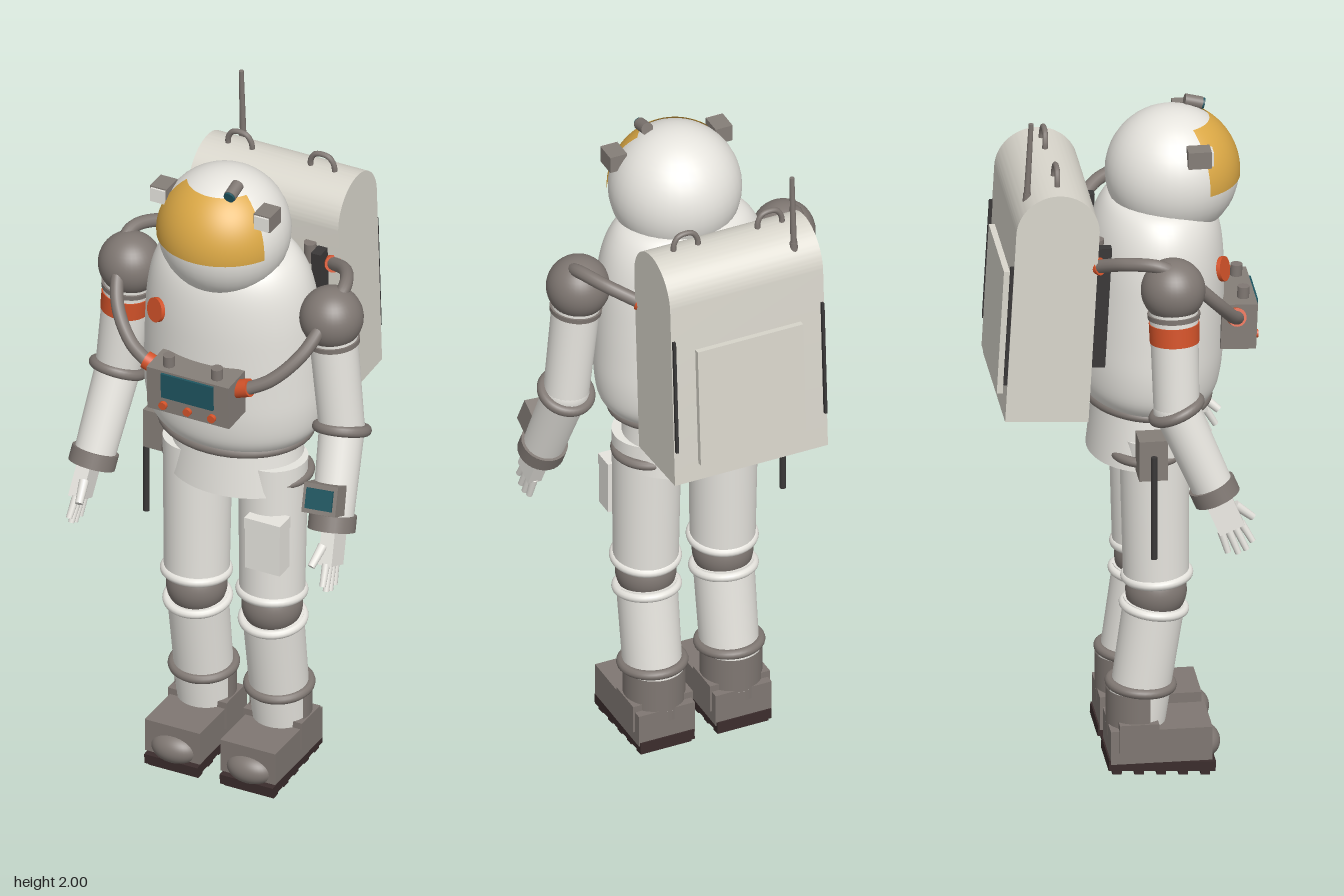
import * as THREE from 'three';
import { toCreasedNormals } from 'three/addons/utils/BufferGeometryUtils.js';

const V = (x, y, z) => new THREE.Vector3(x, y, z);

export function createModel() {
  const mat = (name, color, side = THREE.FrontSide) => {
    const m = new THREE.MeshStandardMaterial({ color, side });
    m.name = name;
    return m;
  };
  const suit = mat('suit white', 0xe6e4de);
  const shell = mat('pack white', 0xd9d6cc);
  const joint = mat('joint grey', 0x7f7772, THREE.DoubleSide);
  const metal = mat('equipment grey', 0x857e78);
  const dark = mat('dark trim', 0x3a3838);
  const rubber = mat('sole rubber', 0x3a2c2c);
  const orange = mat('orange', 0xd4532a, THREE.DoubleSide);
  const teal = mat('screen teal', 0x1f5560);
  const gold = mat('visor gold', 0xdba845, THREE.DoubleSide);

  const root = new THREE.Group();
  root.name = 'astronaut';

  // Helpers
  const group = (name, parent = root) => {
    const g = new THREE.Group();
    g.name = name;
    parent.add(g);
    return g;
  };
  const add = (parent, name, geo, material, x = 0, y = 0, z = 0) => {
    const m = new THREE.Mesh(geo, material);
    m.name = name;
    m.position.set(x, y, z);
    parent.add(m);
    return m;
  };
  const box = (w, h, d) => new THREE.BoxGeometry(w, h, d);
  const cyl = (rt, rb, h, n = 32) => new THREE.CylinderGeometry(rt, rb, h, n);
  const ball = (r) => new THREE.SphereGeometry(r, 36, 24);
  const ring = (R, r) => new THREE.TorusGeometry(R, r, 12, 40).rotateX(Math.PI / 2);
  const rod = (parent, name, a, b, ra, rb, material, n = 32) => {
    const m = add(parent, name, cyl(rb, ra, a.distanceTo(b), n), material);
    m.position.copy(a).add(b).multiplyScalar(0.5);
    m.quaternion.setFromUnitVectors(V(0, 1, 0), b.clone().sub(a).normalize());
    return m;
  };

  // Torso, leaning slightly forward
  const torso = group('torso');
  torso.position.set(0, 1.1, 0.065);
  torso.rotation.x = 0.055;
  const outline = [[0, -0.015], [0.16, -0.015], [0.205, -0.005], [0.235, 0.02], [0.256, 0.06], [0.265, 0.13],
    [0.263, 0.22], [0.258, 0.32], [0.25, 0.42], [0.235, 0.5], [0.212, 0.555], [0.18, 0.59], [0.13, 0.608], [0, 0.612]];
  const profile = new THREE.SplineCurve(outline.slice(1, -1).map((p) => new THREE.Vector2(...p))).getPoints(48);
  const pts = [new THREE.Vector2(...outline[0]), ...profile, new THREE.Vector2(...outline.at(-1))];
  add(torso, 'torsoShell', new THREE.LatheGeometry(pts, 56), suit).scale.z = 0.77;
  const waist = add(torso, 'waistRing', ring(0.217, 0.014), joint, 0, 0.005, 0);
  waist.scale.z = 0.8;
  const patch = add(root, 'chestPatch', cyl(0.035, 0.035, 0.012).rotateX(Math.PI / 2), orange, -0.15, 1.52, 0.262);
  patch.rotation.set(-0.2, -0.5, 0, 'YXZ');

  // Hips
  const hips = add(root, 'hips', cyl(0.18, 0.204, 0.17, 48), suit, 0, 1.02, 0.055);
  hips.scale.z = 0.77;

  // Helmet, visor, lamps and camera
  const head = group('helmet');
  head.position.set(0, 1.763, 0.138);
  add(head, 'helmetShell', ball(0.187), suit);
  const span = 1.1;
  add(head, 'visor', new THREE.SphereGeometry(0.19, 40, 24, Math.PI / 2 - span, span * 2, 0.58, 1.06), gold);
  for (const s of [-1, 1]) {
    add(head, 'lamp', box(0.052, 0.05, 0.065), metal, s * 0.162, 0.107, 0.055);
    add(head, 'lampLens', box(0.044, 0.042, 0.008), suit, s * 0.162, 0.107, 0.09);
  }
  const camera = group('helmetCamera', head);
  camera.position.set(0.064, 0.175, 0.068);
  camera.rotation.x = 0.25;
  add(camera, 'cameraBody', cyl(0.018, 0.018, 0.05).rotateX(Math.PI / 2), joint);
  add(camera, 'cameraLens', cyl(0.016, 0.016, 0.008).rotateX(Math.PI / 2), teal, 0, 0, 0.027);

  // Backpack with rounded top
  const pack = group('backpack');
  pack.position.set(0, 1.69, -0.212);
  pack.rotation.x = 0.055;
  const side = new THREE.Shape();
  side.moveTo(-0.117, -0.57);
  side.lineTo(0.117, -0.57);
  side.lineTo(0.117, 0);
  side.absarc(0, 0, 0.117, 0, Math.PI, false);
  side.closePath();
  const packGeo = new THREE.ExtrudeGeometry(side, { depth: 0.47, bevelEnabled: false, curveSegments: 32 });
  packGeo.translate(0, 0, -0.235).rotateY(Math.PI / 2);
  add(pack, 'packShell', toCreasedNormals(packGeo, 0.5), shell);
  add(pack, 'rearPanel', box(0.324, 0.37, 0.024), shell, 0, -0.33, -0.122);
  for (const s of [-1, 1]) {
    add(pack, 'rearStrip', box(0.008, 0.36, 0.03), dark, s * 0.228, -0.28, -0.112);
    add(pack, 'frontStrip', box(0.03, 0.36, 0.05), dark, s * 0.185, -0.24, 0.135);
    add(pack, 'valve', cyl(0.018, 0.018, 0.06), joint, s * 0.15, -0.08, 0.125);
    const handle = new THREE.CatmullRomCurve3([V(-0.037, 0.1, 0), V(-0.036, 0.135, 0), V(-0.02, 0.158, 0),
      V(0.02, 0.158, 0), V(0.036, 0.135, 0), V(0.037, 0.1, 0)]);
    add(pack, 'handle', new THREE.TubeGeometry(handle, 24, 0.008, 10), joint, s * 0.129, 0, 0);
  }
  rod(root, 'antenna', V(-0.163, 1.7, -0.294), V(-0.163, 2, -0.278), 0.01, 0.007, joint, 12);
  rod(root, 'antennaBase', V(-0.163, 1.73, -0.292), V(-0.163, 1.79, -0.289), 0.013, 0.011, joint, 12);

  // Chest control box
  const chest = group('chestBox');
  chest.position.set(0, 1.33, 0.31);
  chest.rotation.x = 0.04;
  add(chest, 'chestCase', box(0.256, 0.135, 0.1), metal);
  add(chest, 'chestScreen', box(0.162, 0.078, 0.008), teal, 0, 0.022, 0.053);
  for (const x of [-0.076, 0, 0.076]) {
    add(chest, 'button', cyl(0.012, 0.012, 0.014, 20).rotateX(Math.PI / 2), orange, x, -0.044, 0.054);
  }
  for (const s of [-1, 1]) add(chest, 'knob', cyl(0.017, 0.017, 0.036, 20), joint, s * 0.075, 0.083, 0.015);

  for (const s of [-1, 1]) {
    // Air hose from chest box, over the shoulder, to the pack
    const path = [[0.145, 1.365, 0.305], [0.22, 1.405, 0.28], [0.29, 1.48, 0.225], [0.325, 1.57, 0.14],
      [0.335, 1.62, 0.06], [0.295, 1.615, -0.025], [0.215, 1.578, -0.1]].map(([x, y, z]) => V(s * x, y, z));
    const hose = group('airHose');
    add(hose, 'hoseTube', new THREE.TubeGeometry(new THREE.CatmullRomCurve3(path), 64, 0.019, 14), joint);
    rod(hose, 'chestCoupling', V(s * 0.122, 1.36, 0.3), V(s * 0.163, 1.375, 0.3), 0.026, 0.026, orange);
    rod(hose, 'packCoupling', V(s * 0.203, 1.572, -0.113), V(s * 0.222, 1.581, -0.092), 0.025, 0.025, orange);

    // Shoulder and upper arm
    const arm = group(s > 0 ? 'leftArm' : 'rightArm');
    const shoulder = V(s * 0.315, 1.54, 0.1), elbow = V(s * 0.35, 1.19, 0.105), wrist = V(s * 0.375, 0.93, 0.215);
    const along = (t) => shoulder.clone().lerp(elbow, t);
    add(arm, 'shoulderJoint', ball(0.09), joint).position.copy(shoulder);
    rod(arm, 'upperArm', shoulder, elbow, 0.069, 0.064, suit);
    rod(arm, 'shoulderCuff', along(0.19), along(0.23), 0.074, 0.073, joint);
    if (s < 0) rod(arm, 'armBand', along(0.27), along(0.43), 0.0705, 0.069, orange);

    // Forearm, built hanging down from the elbow
    const fore = group('forearm', arm);
    fore.position.copy(elbow);
    fore.quaternion.setFromUnitVectors(V(0, -1, 0), wrist.clone().sub(elbow).normalize());
    add(fore, 'elbow', ball(0.065), suit);
    add(fore, 'elbowRing', ring(0.068, 0.016), joint);
    add(fore, 'forearmSleeve', cyl(0.064, 0.058, 0.28), suit, 0, -0.14, 0);
    add(fore, 'wristCuff', cyl(0.067, 0.067, 0.045), joint, 0, -0.265, 0);
    add(fore, 'palm', box(0.042, 0.1, 0.075), suit, s * 0.008, -0.335, 0);
    for (let i = 0; i < 4; i++) {
      const z = (i - 1.5) * 0.02;
      rod(fore, 'finger', V(s * 0.008, -0.38, z), V(s * 0.008, -0.445 - (i % 3 ? 0.015 : 0), z * 1.25), 0.0115, 0.009, suit, 12);
    }
    rod(fore, 'thumb', V(-s * 0.005, -0.33, 0.035), V(-s * 0.02, -0.39, 0.065), 0.014, 0.011, suit, 12);
    if (s > 0) {
      add(fore, 'wristDevice', box(0.105, 0.085, 0.06), metal, -0.003, -0.195, 0.06);
      add(fore, 'wristScreen', box(0.082, 0.058, 0.008), teal, -0.003, -0.195, 0.093);
    }

    // Leg
    const leg = group(s > 0 ? 'leftLeg' : 'rightLeg');
    const x = s * 0.118;
    rod(leg, 'thigh', V(x, 0.58, 0.078), V(x, 1.02, 0.072), 0.092, 0.098, suit);
    add(leg, 'hipRing', ring(0.095, 0.014), joint, x, 0.967, 0.055);
    add(leg, 'kneeJoint', ball(0.086), joint, x, 0.54, 0.078);
    add(leg, 'upperKneeRing', ring(0.088, 0.014), suit, x, 0.588, 0.08).rotation.x = -0.06;
    const calfTop = V(x, 0.505, 0.073), calfEnd = V(x, 0.13, 0.018);
    rod(leg, 'calf', calfTop, calfEnd, 0.086, 0.082, suit);
    add(leg, 'lowerKneeRing', ring(0.086, 0.013), suit, x, 0.492, 0.072).rotation.x = 0.12;
    add(leg, 'ankleRing', ring(0.087, 0.014), joint, x, 0.258, 0.035).rotation.x = 0.08;

    // Boot
    const boot = group('boot', leg);
    boot.position.set(x, 0.035, 0.08);
    const heel = new THREE.CylinderGeometry(0.088, 0.088, 0.14, 32, 1, true, Math.PI * 0.4, Math.PI * 1.2);
    add(boot, 'bootShaft', heel, joint, 0, 0.145, -0.055);
    add(boot, 'bootFoot', box(0.172, 0.1, 0.285), joint, 0, 0.063, 0.003);
    add(boot, 'heelCounter', box(0.184, 0.085, 0.11), joint, 0, 0.09, -0.06);
    add(boot, 'toeCap', ball(1), joint, 0, 0.038, 0.125).scale.set(0.072, 0.046, 0.052);
    const sole = group('sole', boot);
    sole.rotation.x = 0.06;
    add(sole, 'soleSlab', box(0.166, 0.03, 0.3), rubber, 0, 0, 0.005);
    for (let i = 0; i < 5; i++) add(sole, 'tread', box(0.156, 0.016, 0.026), rubber, 0, -0.02, -0.12 + i * 0.062);
  }

  // Thigh pouch and hip tool
  const pouch = group('thighPouch');
  add(pouch, 'pouchBody', box(0.108, 0.16, 0.06), suit, 0.15, 0.795, 0.17);
  add(pouch, 'pouchFlap', box(0.112, 0.035, 0.064), suit, 0.15, 0.86, 0.17);
  const tool = group('hipTool');
  add(tool, 'toolHolder', box(0.08, 0.12, 0.08), metal, -0.24, 1.003, 0.05);
  add(tool, 'toolRod', cyl(0.009, 0.009, 0.31, 12), dark, -0.29, 0.865, 0.05);

  return root;
}
